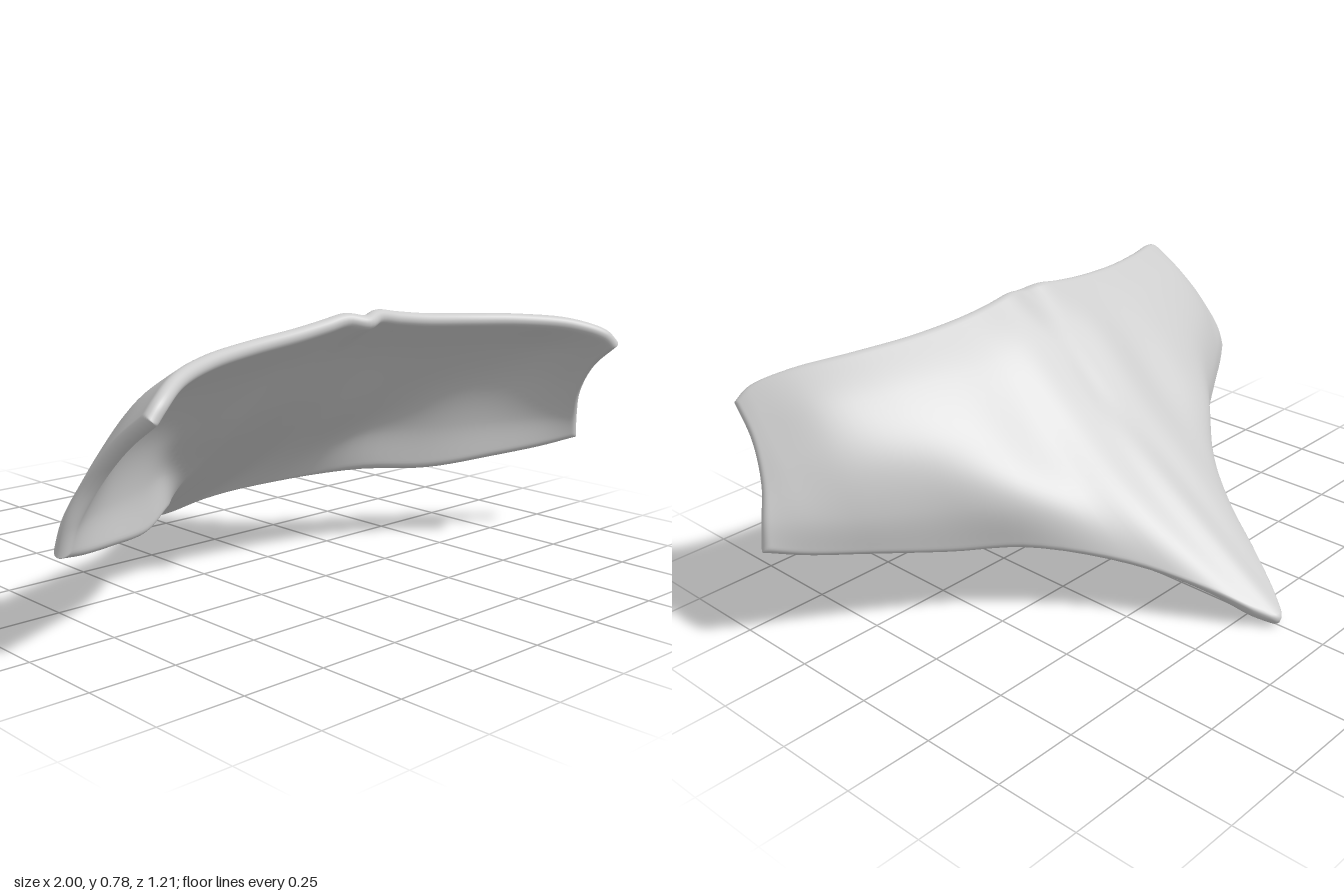
import * as THREE from 'three';
import { mergeVertices } from 'three/addons/utils/BufferGeometryUtils.js';

const HALF_THICKNESS = 0.021;

// Profiles from the midline out to the wing end, each running from front rim to rear edge
const HALF_PROFILES = [
  [[0, .768, .41], [0, .686, .27], [0, .492, .065], [0, .288, -.21], [0, .018, -.607]],
  [[.06, .78, .392], [.06, .68, .26], [.06, .48, .05], [.06, .278, -.21], [.04, .036, -.565]],
  [[.14, .768, .39], [.15, .667, .25], [.15, .47, .045], [.14, .293, -.18], [.105, .095, -.445]],
  [[.25, .755, .395], [.25, .645, .25], [.25, .462, .07], [.24, .315, -.1], [.21, .16, -.26]],
  [[.42, .742, .415], [.42, .645, .28], [.42, .48, .11], [.41, .345, .0], [.4, .215, -.02]],
  [[.6, .73, .465], [.6, .635, .325], [.6, .5, .2], [.59, .36, .14], [.57, .22, .125]],
  [[.75, .71, .535], [.76, .625, .4], [.77, .505, .3], [.77, .37, .25], [.76, .25, .245]],
  [[.845, .675, .59], [.865, .59, .48], [.88, .495, .39], [.89, .38, .33], [.9, .275, .325]],
  [[.888, .637, .602], [.91, .56, .505], [.943, .465, .435], [.98, .38, .4], [1, .302, .385]],
];

// Mirror the half profiles into a full span from right (-x) to left (+x)
const toCurve = (points, side) =>
  new THREE.CatmullRomCurve3(points.map(([x, y, z]) => new THREE.Vector3(x * side, y, z)));
const profiles = [
  ...HALF_PROFILES.slice(1).reverse().map((p) => toCurve(p, -1)),
  ...HALF_PROFILES.map((p) => toCurve(p, 1)),
];

// Curved sheet with rounded edges: the middle surface is offset to both sides
function makeShell(nu, nv) {
  const ease = (i, n) => (1 - Math.cos((Math.PI * i) / n)) / 2;
  const vs = Array.from({ length: nv + 1 }, (_, j) => ease(j, nv));
  const us = Array.from({ length: nu + 1 }, (_, i) => ease(i, nu));
  const grid = us.map(() => []);
  vs.forEach((v) => {
    const row = new THREE.CatmullRomCurve3(profiles.map((p) => p.getPoint(v)));
    us.forEach((u, i) => grid[i].push(row.getPoint(u)));
  });

  const outer = [];
  const inner = [];
  const du = new THREE.Vector3();
  const dv = new THREE.Vector3();
  for (let i = 0; i <= nu; i++) {
    for (let j = 0; j <= nv; j++) {
      const p = grid[i][j];
      du.subVectors(grid[Math.min(i + 1, nu)][j], grid[Math.max(i - 1, 0)][j]);
      dv.subVectors(grid[i][Math.min(j + 1, nv)], grid[i][Math.max(j - 1, 0)]);
      const normal = du.cross(dv).normalize();
      // round the thickness off towards every border
      const d = Math.min(
        p.distanceTo(grid[0][j]), p.distanceTo(grid[nu][j]),
        p.distanceTo(grid[i][0]), p.distanceTo(grid[i][nv]));
      const k = 1 - Math.min(1, d / HALF_THICKNESS);
      const t = HALF_THICKNESS * Math.sqrt(1 - k * k);
      outer.push(...p.clone().addScaledVector(normal, t).toArray());
      inner.push(...p.clone().addScaledVector(normal, -t).toArray());
    }
  }

  const index = [];
  const offset = (nu + 1) * (nv + 1);
  for (let i = 0; i < nu; i++) {
    for (let j = 0; j < nv; j++) {
      const a = i * (nv + 1) + j, b = a + nv + 1, c = a + 1, e = b + 1;
      index.push(a, b, c, b, e, c);
      index.push(a + offset, c + offset, b + offset, b + offset, c + offset, e + offset);
    }
  }
  let geometry = new THREE.BufferGeometry();
  geometry.setAttribute('position', new THREE.Float32BufferAttribute([...outer, ...inner], 3));
  geometry.setIndex(index);
  geometry = mergeVertices(geometry, 1e-5);
  geometry.computeVertexNormals();
  return geometry;
}

export function createModel() {
  const group = new THREE.Group();
  group.name = 'curvedSheet';
  const grey = new THREE.MeshStandardMaterial({ color: 0xcccccc });
  grey.name = 'light grey';

  const shell = new THREE.Mesh(makeShell(112, 48), grey);
  shell.name = 'wingedShell';
  group.add(shell);

  // Rest on the ground and centre
  shell.geometry.computeBoundingBox();
  const box = shell.geometry.boundingBox;
  const centre = box.getCenter(new THREE.Vector3());
  shell.geometry.translate(-centre.x, -box.min.y, -centre.z);
  return group;
}
